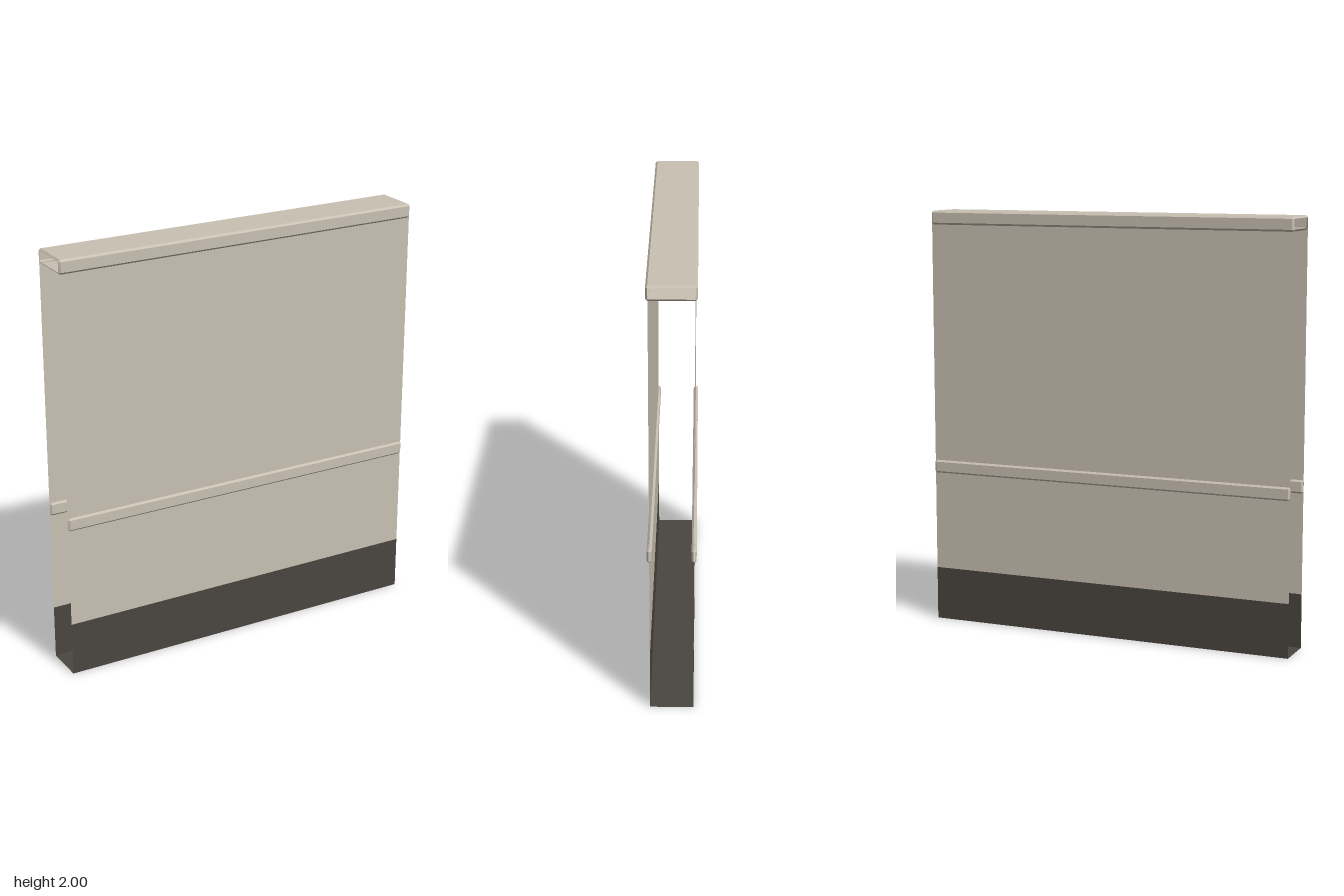
import * as THREE from 'three';

const HALF = 0.905;   // half length of the wall
const FACE = 0.097;   // distance of each wall face from the centre
const BEVEL = 0.009;

const plaster = new THREE.MeshStandardMaterial({ color: 0xc9c0b2, side: THREE.DoubleSide, flatShading: true });
plaster.name = 'plaster';
const darkBase = new THREE.MeshStandardMaterial({ color: 0x4a4640, side: THREE.DoubleSide, flatShading: true });
darkBase.name = 'darkBase';

// Bevelled bar along x, open at both ends; h and d are half sizes in y and z
function openBar(h, d, b) {
  const corners = [[1, -1], [1, 1], [-1, 1], [-1, -1]];
  const section = (x, inset) => corners.flatMap(([sy, sz], i) => {
    const y = sy * (h - b), z = sz * (d - b);
    const overY = [x, y + sy * inset, z], overZ = [x, y, z + sz * inset];
    return i % 2 ? [overY, overZ] : [overZ, overY];
  });
  const rings = [section(-HALF, 0), section(-HALF + b, b), section(HALF - b, b), section(HALF, 0)];
  const positions = [];
  for (let r = 0; r < 3; r++) {
    for (let k = 0; k < 8; k++) {
      const n = (k + 1) % 8;
      const [p, q, s, t] = [rings[r][k], rings[r][n], rings[r + 1][n], rings[r + 1][k]];
      positions.push(...p, ...q, ...t, ...q, ...s, ...t);
    }
  }
  const geometry = new THREE.BufferGeometry();
  geometry.setAttribute('position', new THREE.Float32BufferAttribute(positions, 3));
  geometry.computeVertexNormals();
  return geometry;
}

export function createModel() {
  const group = new THREE.Group();
  group.name = 'wallSection';

  const add = (name, geometry, material, x, y, z) => {
    const mesh = new THREE.Mesh(geometry, material);
    mesh.name = name;
    mesh.position.set(x, y, z);
    group.add(mesh);
    return mesh;
  };

  // Front and back faces: dark skirting below, plaster above, and a rail
  const skirtTop = 0.256, wallTop = 1.94;
  for (const [side, s] of [['front', 1], ['back', -1]]) {
    const turn = s > 0 ? 0 : Math.PI;
    add(side + 'Skirting', new THREE.PlaneGeometry(2 * HALF, skirtTop), darkBase,
      0, skirtTop / 2, s * FACE).rotation.y = turn;
    add(side + 'Wall', new THREE.PlaneGeometry(2 * HALF, wallTop - skirtTop), plaster,
      0, (wallTop + skirtTop) / 2, s * FACE).rotation.y = turn;
    add(side + 'Rail', openBar(0.031, 0.011, 0.008), plaster, 0, 0.762, s * FACE);
  }

  // Underside
  add('underside', new THREE.PlaneGeometry(2 * HALF, 2 * FACE), darkBase, 0, 0, 0).rotation.x = Math.PI / 2;

  // Coping along the top
  add('coping', openBar(0.033, 0.107, BEVEL), plaster, 0, 1.967, 0);

  return group;
}
